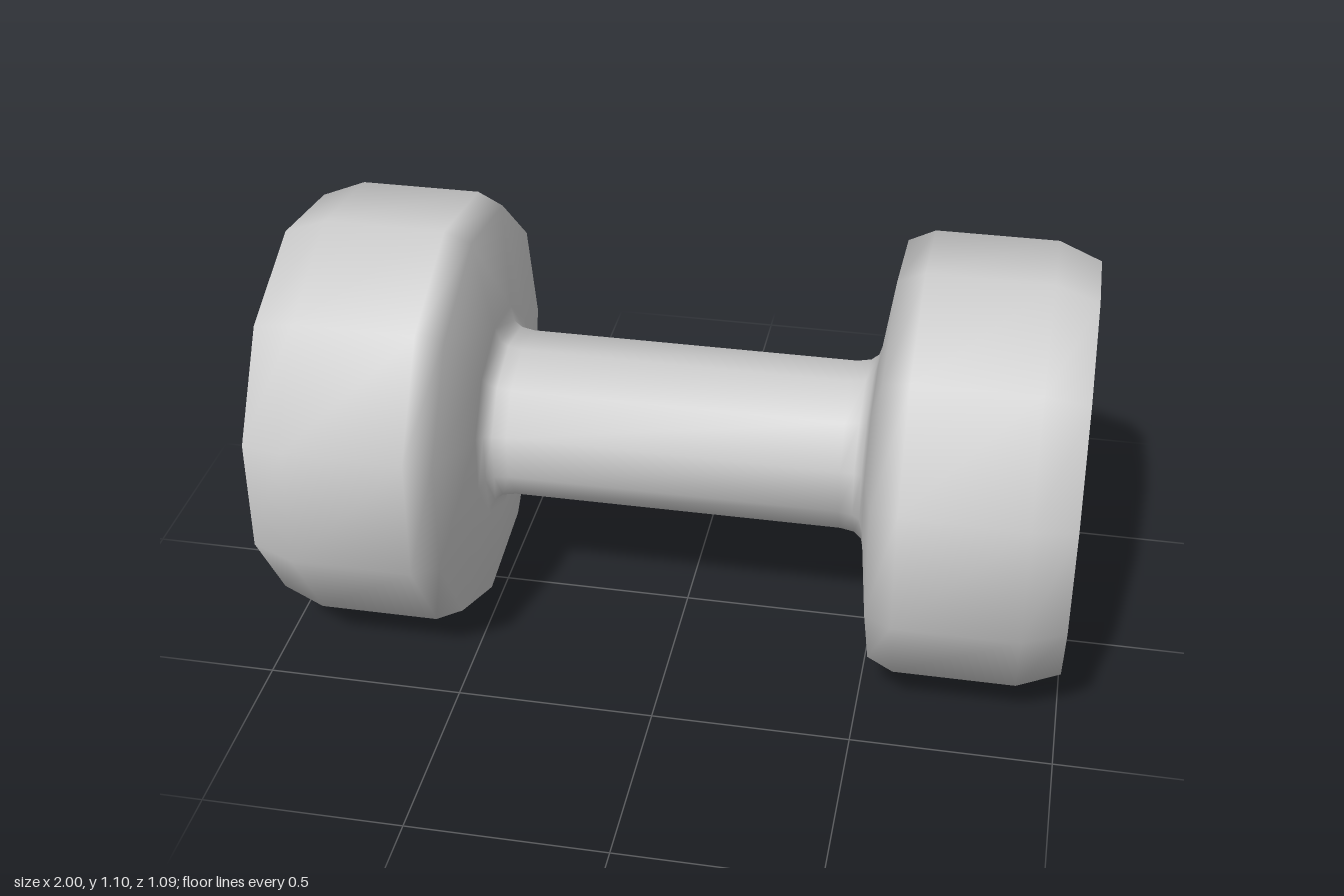
import * as THREE from 'three';

const SIDES = 11;
const CENTRE_Y = 0.554;

// Half profile from the middle outwards: x, vertical radius, depth radius, z centre
const half = [
  [0.42, 0.207, 0.232, 0.007],
  [0.455, 0.214, 0.236, 0.007],
  [0.474, 0.23, 0.248, 0.008],
  [0.485, 0.268, 0.28, 0.009],
  [0.522, 0.528, 0.528, 0.012],
  [0.588, 0.558, 0.557, 0.012],
  [0.893, 0.558, 0.557, 0.012],
  [1, 0.516, 0.518, 0.012],
];

function ring([x, ry, rz, cz]) {
  const points = [];
  for (let i = 0; i < SIDES; i++) {
    const a = (i / SIDES) * Math.PI * 2;
    points.push(x, CENTRE_Y + ry * Math.sin(a), cz - rz * Math.cos(a));
  }
  return points;
}

function build(positions, index) {
  const geo = new THREE.BufferGeometry();
  geo.setAttribute('position', new THREE.Float32BufferAttribute(positions, 3));
  geo.setIndex(index);
  geo.computeVertexNormals();
  return geo;
}

// Smooth skin through all cross-sections
function loft(sections) {
  const index = [];
  for (let s = 0; s < sections.length - 1; s++) {
    for (let i = 0; i < SIDES; i++) {
      const j = (i + 1) % SIDES;
      const a = s * SIDES + i, b = s * SIDES + j;
      const c = a + SIDES, d = b + SIDES;
      index.push(a, b, c, b, d, c);
    }
  }
  return build(sections.flatMap(ring), index);
}

// Flat polygon closing one end
function cap(section, facing) {
  const index = [];
  for (let i = 1; i < SIDES - 1; i++) {
    index.push(0, ...(facing > 0 ? [i, i + 1] : [i + 1, i]));
  }
  return build(ring(section), index);
}

export function createModel() {
  const group = new THREE.Group();
  group.name = 'dumbbell';
  const material = new THREE.MeshStandardMaterial({ color: 0xcccccc });
  const add = (name, geometry) => {
    const mesh = new THREE.Mesh(geometry, material);
    mesh.name = name;
    group.add(mesh);
  };
  const mirrored = half.map(([x, ...rest]) => [-x, ...rest]).reverse();

  // Grip flaring into both weights as one continuous surface
  add('handleAndWeights', loft([...mirrored, ...half]));
  // Flat outer faces
  add('leftEndFace', cap(half[half.length - 1], 1));
  add('rightEndFace', cap(mirrored[0], -1));
  return group;
}
